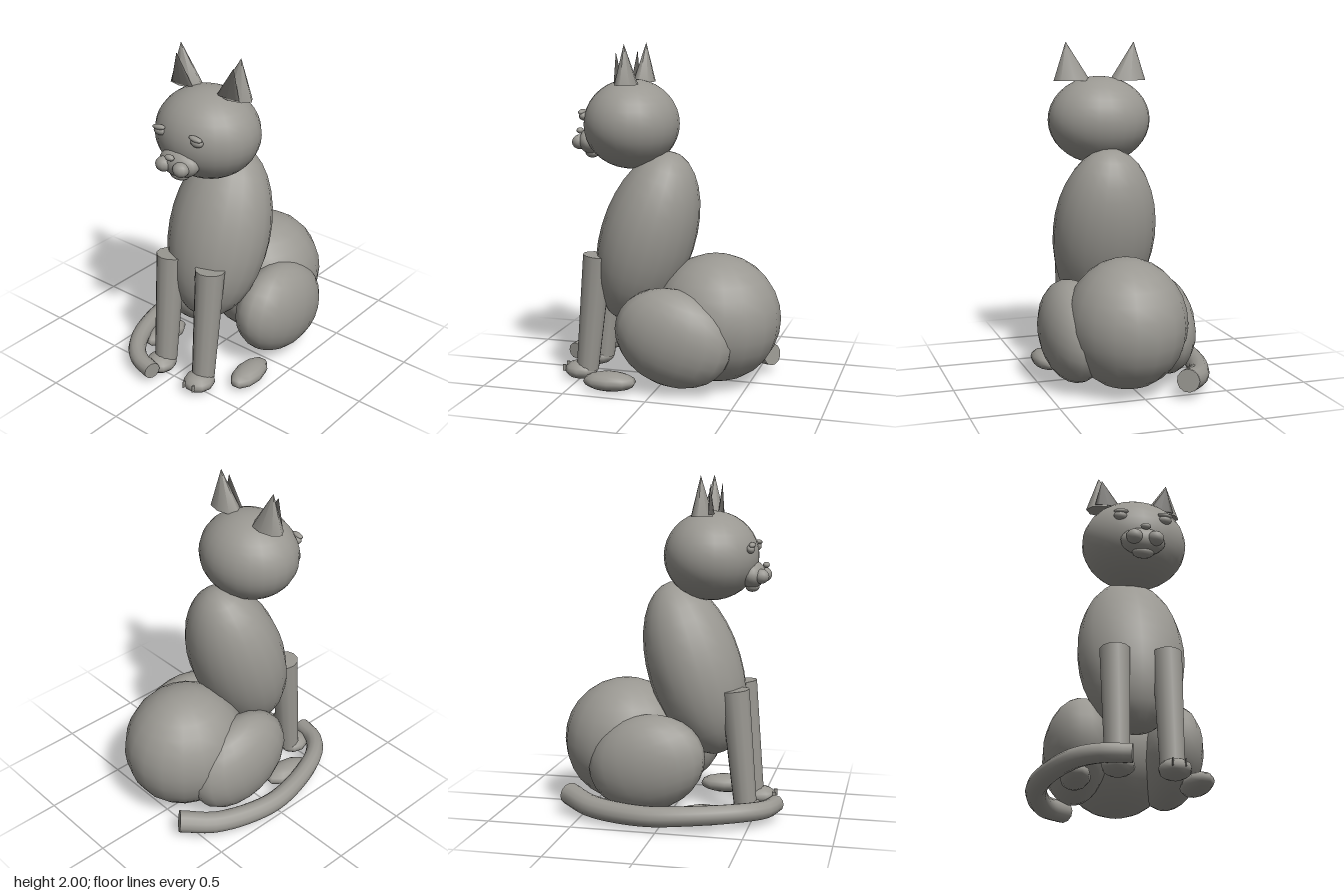
import * as THREE from 'three';

const fur = new THREE.MeshStandardMaterial({ color: 0x9a9892 });
const darkFur = new THREE.MeshStandardMaterial({ color: 0x65635f });

function add(parent, name, geometry, pos = [0, 0, 0], rot = [0, 0, 0], material = fur) {
  const mesh = new THREE.Mesh(geometry, material);
  mesh.name = name;
  mesh.position.set(...pos);
  mesh.rotation.set(...rot);
  parent.add(mesh);
  return mesh;
}

function ellipsoid(parent, name, pos, radii, rot, w = 18, h = 14) {
  const mesh = add(parent, name, new THREE.SphereGeometry(1, w, h), pos, rot);
  mesh.scale.set(...radii);
}

// Ear: flattened cone with its tip pushed outward
function earGeometry(side, height, rx, rz) {
  const g = new THREE.ConeGeometry(1, height, 8, 1);
  const p = g.attributes.position;
  for (let i = 0; i < p.count; i++) {
    const t = p.getY(i) / height + 0.5;
    p.setX(i, p.getX(i) * rx + side * 0.038 * t);
    p.setZ(i, p.getZ(i) * rz);
  }
  g.computeVertexNormals();
  return g;
}

// Tail: tube that thins towards its tip
function tailGeometry(path, startRadius, endRadius) {
  const rings = 28;
  const sides = 12;
  const g = new THREE.TubeGeometry(path, rings, 1, sides, false);
  const p = g.attributes.position;
  const v = new THREE.Vector3();
  for (let i = 0; i < p.count; i++) {
    const t = Math.floor(i / (sides + 1)) / rings;
    const centre = path.getPointAt(t);
    v.fromBufferAttribute(p, i).sub(centre);
    v.multiplyScalar(THREE.MathUtils.lerp(startRadius, endRadius, t)).add(centre);
    p.setXYZ(i, v.x, v.y, v.z);
  }
  return g;
}

export function createModel() {
  const model = new THREE.Group();
  model.name = 'sittingCat';

  // Everything but the tail is symmetric about the cat's own centre line
  const cat = new THREE.Group();
  cat.name = 'cat';
  cat.position.x = 0.045;
  model.add(cat);

  // Body
  ellipsoid(cat, 'chest', [0, 0.863, 0.12], [0.312, 0.535, 0.281], [-0.3, 0, 0], 20, 16);
  ellipsoid(cat, 'rump', [0, 0.405, -0.302], [0.352, 0.38, 0.382]);

  // Head and face
  ellipsoid(cat, 'head', [0, 1.535, 0.217], [0.31, 0.262, 0.28], [0, 0, 0], 24, 18);
  ellipsoid(cat, 'muzzle', [0, 1.43, 0.46], [0.13, 0.08, 0.075]);
  ellipsoid(cat, 'nose', [0, 1.486, 0.54], [0.031, 0.018, 0.02], [0, 0, 0], 12, 8);
  ellipsoid(cat, 'chin', [0, 1.36, 0.46], [0.065, 0.033, 0.042], [0, 0, 0], 12, 8);

  for (const side of [1, -1]) {
    const label = side > 0 ? 'left' : 'right';

    // Ears with a darker inner face
    add(cat, label + 'Ear', earGeometry(side, 0.23, 0.113, 0.064), [side * 0.174, 1.886, 0.192]);
    add(cat, label + 'InnerEar', earGeometry(side, 0.175, 0.078, 0.012),
      [side * 0.163, 1.868, 0.243], [0, 0, 0], darkFur);

    // Eyes, lids and whisker pads
    ellipsoid(cat, label + 'Eye', [side * 0.132, 1.585, 0.466], [0.041, 0.026, 0.026], [0, 0, 0], 12, 8);
    ellipsoid(cat, label + 'Eyelid', [side * 0.131, 1.609, 0.476], [0.045, 0.015, 0.02],
      [0, 0, -side * 0.1], 12, 8);
    ellipsoid(cat, label + 'WhiskerPad', [side * 0.062, 1.425, 0.52], [0.048, 0.043, 0.046], [0, 0, 0], 12, 10);

    // Front legs leaning back, paws and toe lines
    add(cat, label + 'FrontLeg', new THREE.CylinderGeometry(0.087, 0.068, 0.7, 12),
      [side * 0.148, 0.42, 0.42], [-0.1, 0, 0]);
    ellipsoid(cat, label + 'FrontPaw', [side * 0.152, 0.06, 0.495], [0.091, 0.056, 0.1], [0, 0, 0], 10, 8);
    for (const toe of [-1, 1]) {
      add(cat, label + 'ToeLine', new THREE.BoxGeometry(0.006, 0.04, 0.02),
        [side * 0.15 + toe * 0.035, 0.07, 0.591]);
    }

    // Hind legs
    ellipsoid(cat, label + 'Thigh', [side * 0.272, 0.335, -0.113], [0.191, 0.283, 0.353], [-0.3, 0, 0]);
    ellipsoid(cat, label + 'HindPaw', [side * 0.336, 0.065, 0.252], [0.084, 0.057, 0.16], [0, side * 0.08, 0], 10, 8);
  }

  // Tail curling around the right side, with closed ends
  const path = new THREE.CatmullRomCurve3([
    [-0.225, 0.118, -0.59], [-0.36, 0.092, -0.41], [-0.455, 0.085, -0.08], [-0.435, 0.095, 0.17],
    [-0.325, 0.1, 0.46], [-0.205, 0.093, 0.585], [-0.058, 0.087, 0.628],
  ].map((p) => new THREE.Vector3(...p)));
  const tail = new THREE.Group();
  tail.name = 'tail';
  model.add(tail);
  const radii = [0.067, 0.051];
  add(tail, 'tailTube', tailGeometry(path, ...radii));
  radii.forEach((radius, t) => {
    const out = path.getTangentAt(t).multiplyScalar(t ? 1 : -1);
    const cap = add(tail, 'tailEnd', new THREE.CircleGeometry(radius, 12), path.getPointAt(t).toArray());
    cap.quaternion.setFromUnitVectors(new THREE.Vector3(0, 0, 1), out);
  });

  return model;
}
